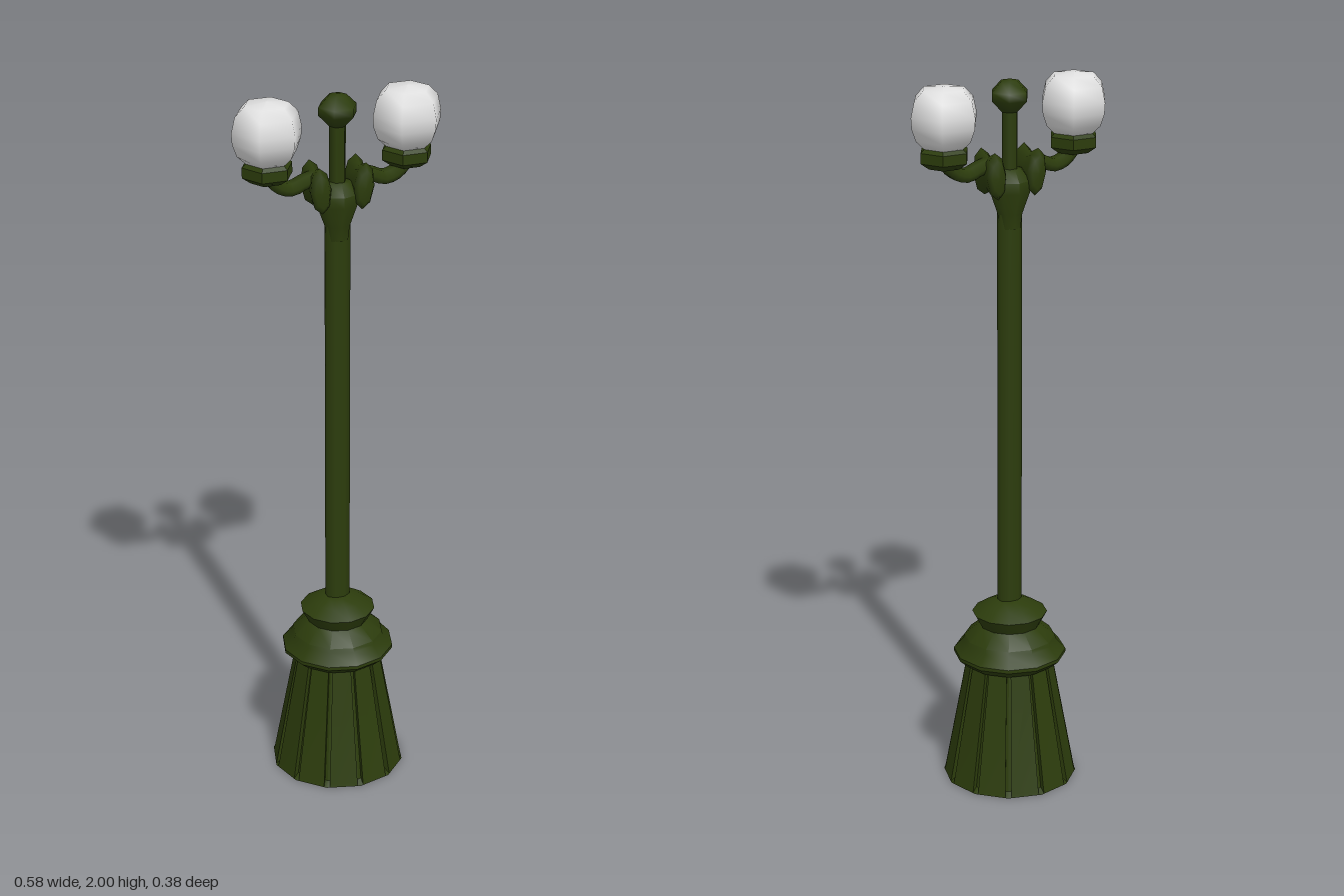
import * as THREE from 'three';
import { toCreasedNormals } from 'three/addons/utils/BufferGeometryUtils.js';

// Lathe from [radius, y] pairs listed bottom to top; a vertex lies on the x axis
function lathe(profile, sides, crease) {
  const pts = profile.map(([r, y]) => new THREE.Vector2(r, y));
  const geo = new THREE.LatheGeometry(pts, sides, Math.PI / 2);
  return crease ? toCreasedNormals(geo, crease) : geo;
}

// Twelve-sided tapered plinth with a slot cut along every corner
function flutedGeometry() {
  const levels = [[0, 0.188, 0], [0.012, 0.185, 0.016], [0.35, 0.122, 0.013]];
  const pos = [], idx = [], n = 60;
  for (const [y, r, depth] of levels) {
    for (let i = 0; i < 12; i++) {
      const a = (i / 12) * Math.PI * 2;
      const w = r * 0.045; // half width of the slot
      const side = r - w * Math.tan(Math.PI / 12);
      for (const [d, t] of [[side, -w], [side - depth, -w], [r - depth, 0], [side - depth, w], [side, w]]) {
        pos.push(Math.sin(a) * d + Math.cos(a) * t, y, Math.cos(a) * d - Math.sin(a) * t);
      }
    }
  }
  for (let l = 0; l < levels.length - 1; l++) {
    for (let i = 0; i < n; i++) {
      const a = l * n + i, b = l * n + ((i + 1) % n);
      idx.push(a, b, b + n, a, b + n, a + n);
    }
  }
  // Bottom face
  pos.push(0, 0, 0);
  for (let i = 0; i < n; i++) idx.push(n * levels.length, (i + 1) % n, i);
  const geo = new THREE.BufferGeometry();
  geo.setAttribute('position', new THREE.Float32BufferAttribute(pos, 3));
  geo.setIndex(idx);
  return toCreasedNormals(geo, 0.45);
}

export function createModel() {
  const model = new THREE.Group();
  model.name = 'streetLamp';
  const green = new THREE.MeshStandardMaterial({ color: 0x2c3c0c });
  green.name = 'dark green iron';
  green.side = THREE.DoubleSide;
  const white = new THREE.MeshStandardMaterial({ color: 0xe0e0e0 });
  white.name = 'white glass';

  function add(name, geo, mat = green, parent = model) {
    const mesh = new THREE.Mesh(geo, mat);
    mesh.name = name;
    parent.add(mesh);
    return mesh;
  }

  // Foot of the lamp
  add('flutedBase', flutedGeometry());
  add('baseCollar', lathe([
    [0, 0.345], [0.13, 0.345], [0.157, 0.368], [0.157, 0.378], [0.13, 0.408], [0.127, 0.42],
    [0.085, 0.455], [0.105, 0.492], [0.07, 0.515], [0.035, 0.53], [0, 0.53],
  ], 12, 0.7));

  // Slightly flattened post
  const post = lathe([[0.034, 0.5], [0.034, 1.64]], 8);
  post.rotateY(Math.PI / 8);
  post.scale(1.04, 1, 0.76);
  add('post', post);

  // Flared head that carries the arms
  const head = lathe([
    [0, 1.6], [0.031, 1.6], [0.036, 1.64], [0.058, 1.7], [0.058, 1.73], [0.035, 1.76], [0, 1.765],
  ], 8, 0.9);
  head.scale(1, 1, 0.92);
  add('head', head);

  // Central spindle and finial
  add('spindle', lathe([[0.023, 1.74], [0.023, 1.93]], 6));
  const finial = lathe([
    [0, 1.91], [0.022, 1.912], [0.053, 1.945], [0.053, 1.967], [0.025, 1.995], [0, 2],
  ], 6);
  add('finial', finial);

  // Spool-shaped scroll lying along z
  const scrollGeo = lathe([
    [0, -0.054], [0.7, -0.052], [1, -0.038], [0.72, 0], [1, 0.038], [0.7, 0.052], [0, 0.054],
  ], 8);
  scrollGeo.rotateX(Math.PI / 2);
  scrollGeo.scale(0.029, 0.064, 1);

  const armPath = new THREE.CatmullRomCurve3([
    [0.055, 1.78], [0.09, 1.772], [0.13, 1.757], [0.165, 1.768], [0.194, 1.8],
  ].map(([x, y]) => new THREE.Vector3(x, y, 0)));
  const armGeo = new THREE.TubeGeometry(armPath, 10, 0.02, 6);
  armGeo.scale(1, 1, 1.4);

  const cupGeo = lathe([
    [0, 1.782], [0.045, 1.785], [0.069, 1.802], [0.069, 1.83], [0.055, 1.842], [0, 1.842],
  ], 6, 0.7);
  const globeGeo = lathe([
    [0, 1.835], [0.055, 1.836], [0.082, 1.862], [0.094, 1.895], [0.096, 1.925],
    [0.086, 1.967], [0.06, 1.993], [0, 2],
  ], 6);

  // Right and left lamps, turned half way round from each other
  for (const [name, turn] of [['leftLamp', 0], ['rightLamp', Math.PI]]) {
    const lamp = new THREE.Group();
    lamp.name = name;
    lamp.rotation.y = turn;
    const scroll = add('scroll', scrollGeo, green, lamp);
    scroll.position.set(0.06, 1.752, 0);
    scroll.rotation.z = -0.08;
    add('arm', armGeo, green, lamp);
    add('cup', cupGeo, green, lamp).position.x = 0.194;
    add('globe', globeGeo, white, lamp).position.x = 0.194;
    model.add(lamp);
  }
  return model;
}
